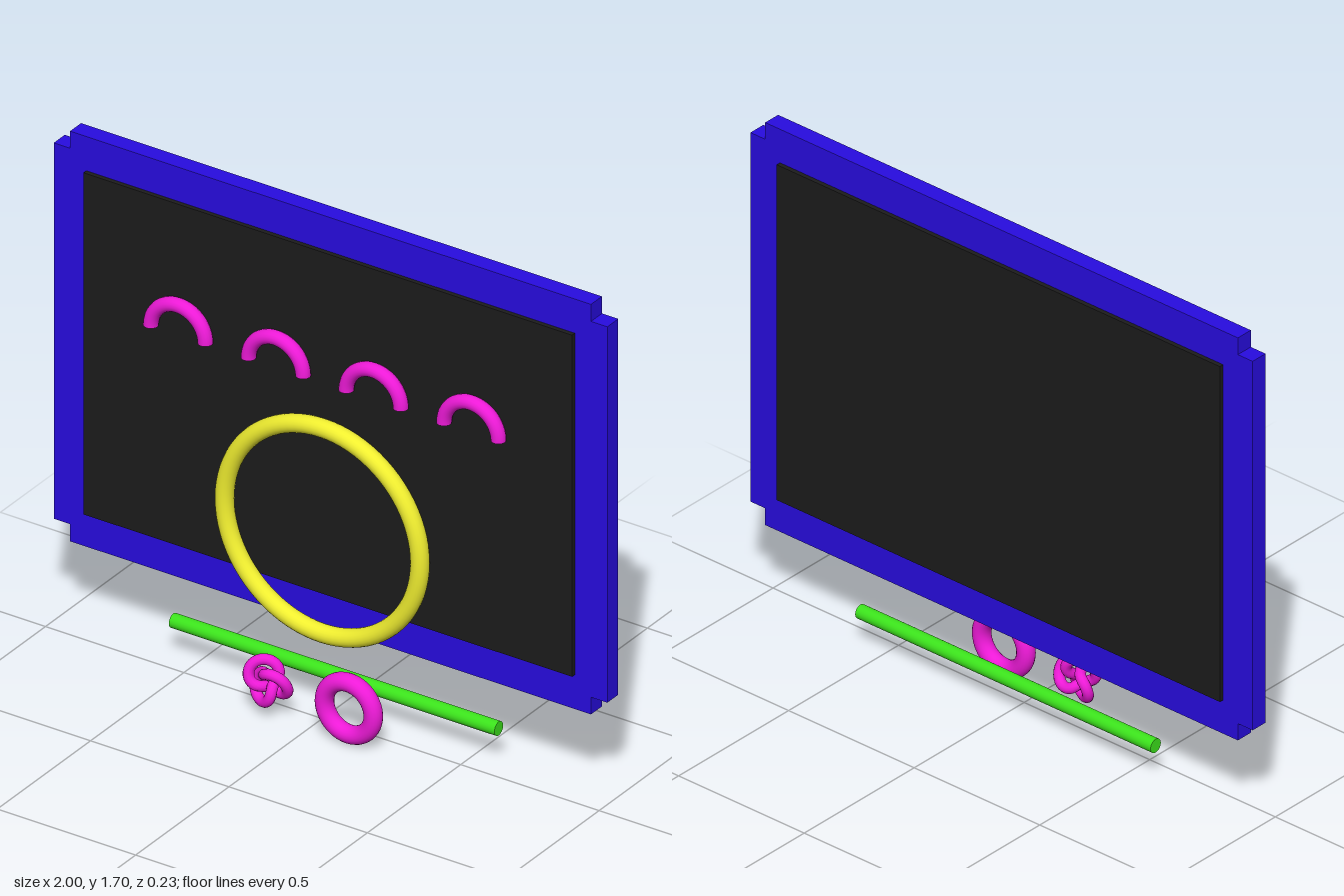
import * as THREE from 'three';

const paint = (color, side = THREE.FrontSide) => new THREE.MeshStandardMaterial({ color, side });

export function createModel() {
  const model = new THREE.Group();
  const blue = paint(0x280ce0);
  const black = paint(0x1c1c1c);
  const yellow = paint(0xf0ee30);
  const magenta = paint(0xee1ad8, THREE.DoubleSide);
  const green = paint(0x3ce31c);

  const add = (name, geometry, material, x, y, z) => {
    const mesh = new THREE.Mesh(geometry, material);
    mesh.name = name;
    mesh.position.set(x, y, z);
    model.add(mesh);
    return mesh;
  };

  const boardY = 1, boardZ = -0.0735, bar = 0.1176, depth = 0.0588;

  // Dark panel, slightly thicker than its frame
  add('panel', new THREE.BoxGeometry(1.765, 1.176, 0.088), black, 0, boardY, boardZ);

  // Frame bars, overlapping so that each corner is notched
  for (const s of [-1, 1]) {
    add(s > 0 ? 'frameTop' : 'frameBottom',
      new THREE.BoxGeometry(1.882, bar, depth), blue, 0, boardY + s * 0.647, boardZ);
    add(s > 0 ? 'frameLeft' : 'frameRight',
      new THREE.BoxGeometry(bar, 1.294, depth), blue, s * 0.941, boardY, boardZ);
  }

  // Row of half-ring arches on the panel
  const arch = new THREE.TorusGeometry(0.0985, 0.0235, 16, 32, Math.PI);
  for (let i = 0; i < 4; i++) {
    add('arch' + (i + 1), arch, magenta, (i - 1.5) * 0.353, 1.153, -0.013);
  }

  // Large ring in front of the panel
  add('largeRing', new THREE.TorusGeometry(0.353, 0.0294, 20, 80), yellow, 0, 0.65, 0);

  // Rod below the board
  add('rod', new THREE.CylinderGeometry(0.0235, 0.0235, 1.176, 24), green, 0, 0.12, boardZ)
    .rotation.z = Math.PI / 2;

  // Small ring and trefoil knot in front of the rod
  add('smallRing', new THREE.TorusGeometry(0.0882, 0.0294, 20, 48), magenta, 0.147, 0.12, 0.0755);
  add('knot', new THREE.TorusKnotGeometry(0.047, 0.0176, 96, 12), magenta, -0.147, 0.12, 0.0755);

  return model;
}
